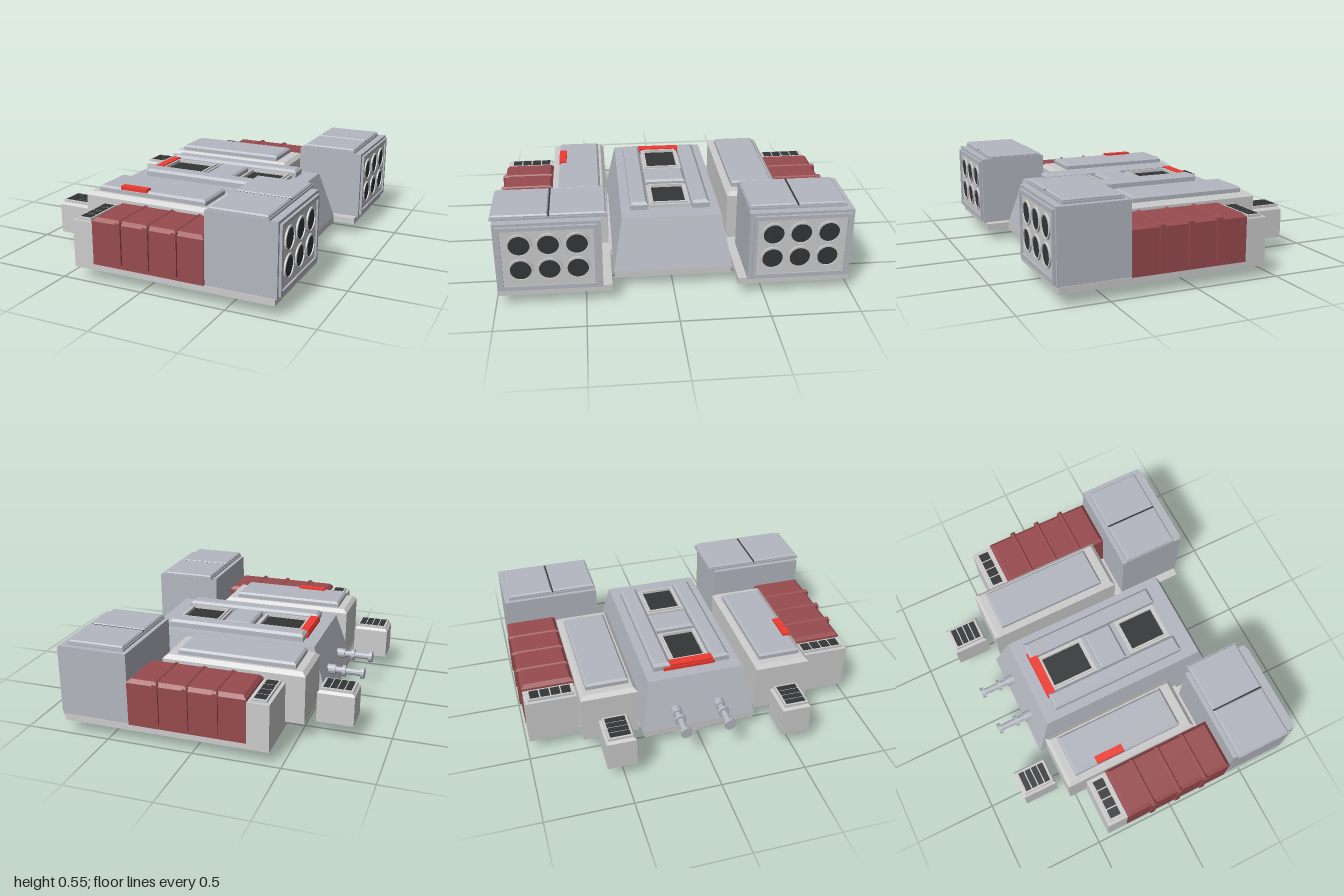
import * as THREE from 'three';

const mat = (color) => new THREE.MeshStandardMaterial({ color, flatShading: true });
const GREY = mat(0xcccccc);
const STEEL = mat(0xb4b7c0);
const DARK = mat(0x333537);
const MAROON = mat(0x984b4e);
const RED = mat(0xf03a30);

export function createModel() {
  const root = new THREE.Group();

  const add = (parent, name, geometry, material) => {
    const mesh = new THREE.Mesh(geometry, material);
    mesh.name = name;
    parent.add(mesh);
    return mesh;
  };

  // Box between two corners; the top inX / inZ are drawn in over the last `drop` of height
  const block = (parent, name, material, [x0, x1], [y0, y1], [za, zb], inX = 0, drop = inX, inZ = inX) => {
    const w = x1 - x0, h = y1 - y0, d = Math.abs(zb - za);
    let g = new THREE.BoxGeometry(w, h, d, 1, inX && drop < h ? 2 : 1, 1);
    if (inX) {
      const p = g.attributes.position;
      for (let i = 0; i < p.count; i++) {
        const y = p.getY(i);
        if (y > h / 2 - 1e-4) {
          p.setX(i, Math.sign(p.getX(i)) * (w / 2 - inX));
          p.setZ(i, Math.sign(p.getZ(i)) * (d / 2 - inZ));
        } else if (Math.abs(y) < 1e-4) p.setY(i, h / 2 - drop);
      }
      g = g.toNonIndexed();
      g.computeVertexNormals();
    }
    g.translate((x0 + x1) / 2, (y0 + y1) / 2, (za + zb) / 2);
    return add(parent, name, g, material);
  };

  // Rectangular frame with an opening, lying flat
  const flatFrame = (parent, name, [x0, x1], [y0, y1], [z0, z1], t) => {
    block(parent, name, GREY, [x0, x1], [y0, y1], [z0, z0 + t]);
    block(parent, name, GREY, [x0, x1], [y0, y1], [z1 - t, z1]);
    block(parent, name, GREY, [x0, x0 + t], [y0, y1], [z0 + t, z1 - t]);
    block(parent, name, GREY, [x1 - t, x1], [y0, y1], [z0 + t, z1 - t]);
  };

  // Turntable ring
  add(root, 'turntable', new THREE.CylinderGeometry(0.47, 0.47, 0.07, 32), GREY).position.set(-0.06, 0.035, 0);

  // Sloped central hull
  const hull = new THREE.Group();
  hull.name = 'hull';
  root.add(hull);
  block(hull, 'hullBase', GREY, [-0.58, 0.64], [0.07, 0.11], [-0.335, 0.335]);
  block(hull, 'hullCrossPlate', GREY, [-0.38, 0.38], [0.072, 0.108], [-0.36, 0.36]);
  block(hull, 'hullBody', STEEL, [-0.58, 0.64], [0.11, 0.4], [-0.34, 0.34], 0.093, 0.29, 0.055);
  for (const s of [1, -1]) {
    block(hull, 'roofRail', STEEL, [-0.405, 0.45], [0.4, 0.445], [s * 0.127, s * 0.23], 0.015);
  }
  block(hull, 'roofBox', STEEL, [-0.045, 0.13], [0.4, 0.435], [-0.122, 0.122], 0.012);
  for (const [a, b] of [[-0.37, -0.07], [0.16, 0.43]]) {
    flatFrame(hull, 'intakeFrame', [a, b], [0.4, 0.42], [-0.118, 0.118], 0.012);
    flatFrame(hull, 'intakeInnerFrame', [a + 0.012, b - 0.012], [0.4, 0.43], [-0.106, 0.106], 0.012);
    block(hull, 'intakeGrille', DARK, [a + 0.024, b - 0.024], [0.4, 0.412], [-0.094, 0.094]);
  }
  block(hull, 'roofLight', RED, [-0.41, -0.36], [0.4, 0.435], [-0.13, 0.13]);
  block(hull, 'roofLightBack', RED, [-0.415, -0.405], [0.4, 0.42], [-0.17, 0.14]);

  // Short barrels on the rear slope
  for (const z of [0.125, -0.135]) {
    for (const [name, r, x0, x1] of [
      ['barrel', 0.02, -0.76, -0.52], ['barrelRoot', 0.03, -0.59, -0.54],
      ['barrelCollar', 0.034, -0.65, -0.63], ['barrelTip', 0.034, -0.762, -0.74],
    ]) {
      const g = new THREE.CylinderGeometry(r, r, x1 - x0, 12).rotateZ(Math.PI / 2);
      add(hull, name, g, STEEL).position.set((x0 + x1) / 2, 0.21, z);
    }
  }

  for (const s of [1, -1]) {
    const pod = new THREE.Group();
    pod.name = s > 0 ? 'frontPod' : 'backPod';
    root.add(pod);
    const z = (a, b) => [s * a, s * b];

    // Floor and inner armour
    block(pod, 'podFloor', GREY, [-0.43, 0.77], [0.07, 0.108], z(0.353, 0.985));
    block(pod, 'armourBox', GREY, [-0.54, 0.295], [0.105, 0.41], z(0.358, 0.685), 0.022);
    block(pod, 'armourLid', STEEL, [-0.475, 0.213], [0.41, 0.445], z(0.395, 0.645), 0.012);

    // Ribbed stowage container
    block(pod, 'container', MAROON, [-0.305, 0.375], [0.105, 0.378], z(0.685, 0.988), 0.02);
    for (const x of [-0.135, 0.035, 0.205]) {
      block(pod, 'containerRib', MAROON, [x - 0.015, x + 0.015], [0.13, 0.385], z(0.69, 1), 0.012);
    }

    // Vent box beside the container
    block(pod, 'ventBox', GREY, [-0.43, -0.305], [0.105, 0.345], z(0.69, 0.985));
    block(pod, 'ventCap', GREY, [-0.41, -0.325], [0.345, 0.36], z(0.7, 0.965));
    for (let i = 0; i < 4; i++) {
      const a = 0.715 + i * 0.061;
      block(pod, 'ventSlot', DARK, [-0.4, -0.335], [0.355, 0.362], z(a, a + 0.053));
    }

    // Detached vent box behind the armour
    block(pod, 'rearBox', GREY, [-0.797, -0.585], [0.09, 0.28], z(0.43, 0.6), 0.014);
    block(pod, 'rearBoxCap', GREY, [-0.783, -0.6], [0.28, 0.295], z(0.445, 0.585));
    for (let i = 0; i < 4; i++) {
      const a = -0.77 + i * 0.041;
      block(pod, 'rearBoxSlot', DARK, [a, a + 0.034], [0.29, 0.298], z(0.457, 0.573));
    }

    // Launcher with hinged lids
    block(pod, 'launcherBody', STEEL, [0.375, 0.78], [0.105, 0.518], z(0.403, 0.982));
    const [l0, l1] = s > 0 ? [0.368, 0.997] : [0.403, 0.95];
    const mid = (l0 + l1) / 2;
    block(pod, 'lidBase', STEEL, [0.4, 0.737], [0.518, 0.53], z(l0, l1));
    for (const [a, b] of [[l0 + 0.006, mid - 0.004], [mid + 0.004, l1 - 0.006]]) {
      block(pod, 'lid', STEEL, [0.406, 0.731], [0.53, 0.545], z(a, b), 0.007);
    }
    block(pod, 'lidGap', DARK, [0.406, 0.731], [0.53, 0.541], z(mid - 0.004, mid + 0.004));

    // Launcher face: raised frame around a plate with six tubes
    const X = [0.78, 0.795];
    block(pod, 'faceFrame', STEEL, X, [0.115, 0.14], z(0.425, 0.965));
    block(pod, 'faceFrame', STEEL, X, [0.48, 0.502], z(0.425, 0.965));
    block(pod, 'faceFrame', STEEL, X, [0.14, 0.48], z(0.425, 0.445));
    block(pod, 'faceFrame', STEEL, X, [0.14, 0.48], z(0.945, 0.965));
    block(pod, 'facePlate', GREY, [0.78, 0.785], [0.14, 0.48], z(0.445, 0.945));
    for (const y of [0.24, 0.39]) {
      for (const tz of [0.536, 0.69, 0.846]) {
        const ring = new THREE.Shape().absarc(0, 0, 0.07, 0, Math.PI * 2, false);
        ring.holes.push(new THREE.Path().absarc(0, 0, 0.058, 0, Math.PI * 2, true));
        const g = new THREE.ExtrudeGeometry(ring, { depth: 0.01, bevelEnabled: false, curveSegments: 12 });
        add(pod, 'tubeRing', g.rotateY(Math.PI / 2), GREY).position.set(0.784, y, s * tz);
        const disc = new THREE.CircleGeometry(0.058, 24).rotateY(Math.PI / 2);
        add(pod, 'tubeBore', disc, DARK).position.set(0.787, y, s * tz);
      }
    }
  }

  // Marker light on the front pod
  block(root, 'markerLight', RED, [-0.332, -0.157], [0.435, 0.456], [0.6, 0.645]);

  return root;
}
